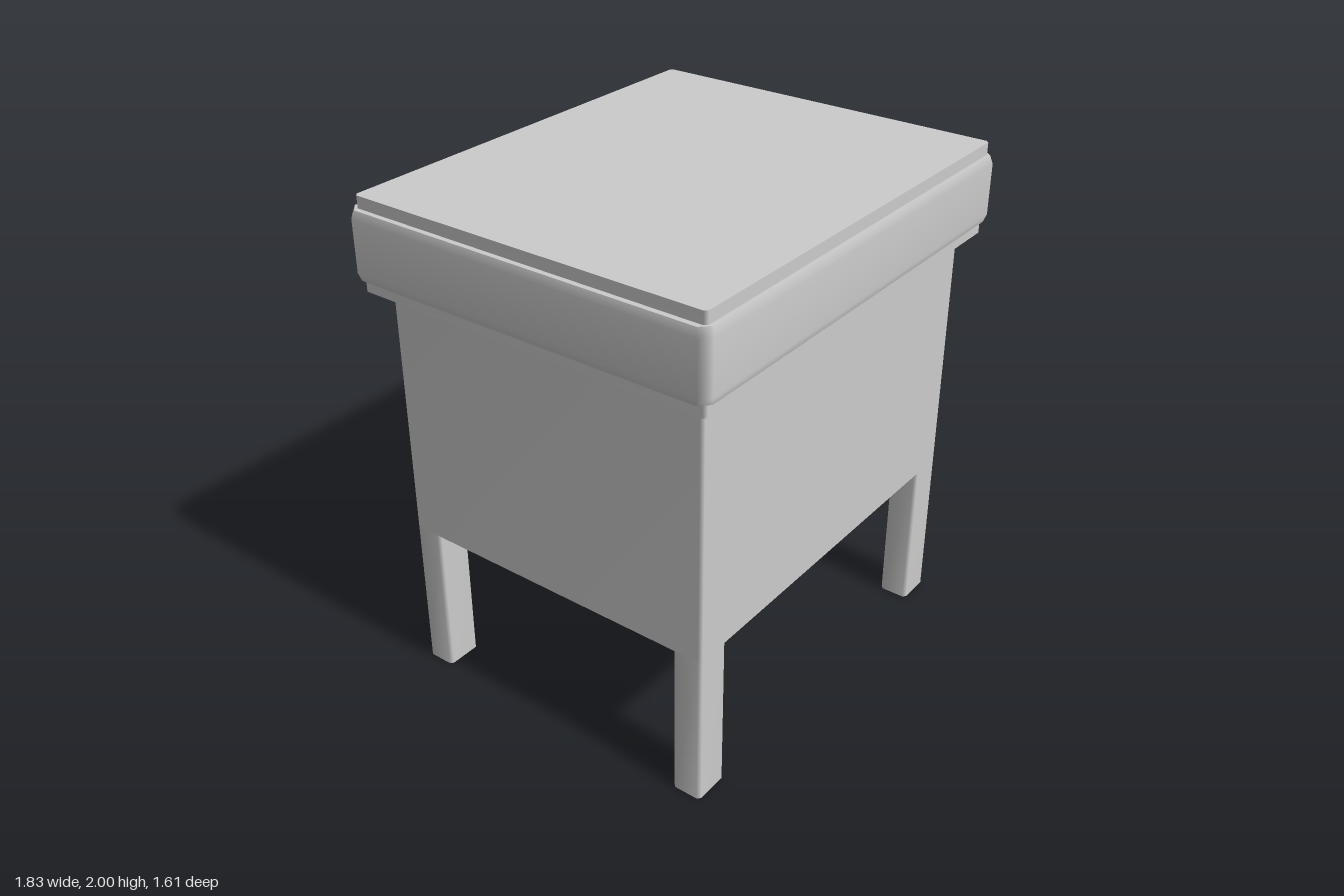
import * as THREE from 'three';

const material = new THREE.MeshStandardMaterial({ color: 0xcccccc });

// Outline of a rectangle with cut corners: half width w, half depth d, cut c
function outline(w, d, c) {
  return [
    [w, d - c], [w - c, d], [c - w, d], [-w, d - c],
    [-w, c - d], [c - w, -d], [w - c, -d], [w, c - d],
  ];
}

// Stack of cut-corner rectangles [y, w, d, c]: smooth sides, crisp flat caps
function stack(name, rings) {
  const pos = [], index = [], n = 8;
  const addRing = ([y, w, d, c]) => outline(w, d, c).forEach(([x, z]) => pos.push(x, y, z));
  rings.forEach(addRing);
  for (let r = 0; r < rings.length - 1; r++) {
    for (let i = 0; i < n; i++) {
      const a = r * n + i, b = r * n + (i + 1) % n;
      index.push(a, a + n, b, b, a + n, b + n);
    }
  }
  const bottom = rings.length * n, top = bottom + n;
  addRing(rings[0]);
  addRing(rings[rings.length - 1]);
  for (let i = 1; i < n - 1; i++) {
    index.push(bottom, bottom + i, bottom + i + 1);
    index.push(top, top + i + 1, top + i);
  }
  const geo = new THREE.BufferGeometry();
  geo.setAttribute('position', new THREE.Float32BufferAttribute(pos, 3));
  geo.setIndex(index);
  geo.computeVertexNormals();
  const mesh = new THREE.Mesh(geo, material);
  mesh.name = name;
  return mesh;
}

export function createModel() {
  const group = new THREE.Group();
  group.name = 'nightstand';
  const add = (mesh, x, y, z) => {
    mesh.position.set(x, y, z);
    group.add(mesh);
    return mesh;
  };

  // Cabinet body
  add(stack('body', [[0.63, 0.82, 0.68, 0.012], [1.64, 0.82, 0.68, 0.012]]), 0, 0, 0.04);

  // Table top: thin slab, thick softened band, thin slab
  add(stack('topUnderside', [[1.64, 0.888, 0.74, 0.012], [1.7, 0.888, 0.74, 0.012]]), 0, 0, 0.038);
  add(stack('topBand', [
    [1.69, 0.908, 0.757, 0.035], [1.72, 0.917, 0.766, 0.035],
    [1.92, 0.917, 0.766, 0.035], [1.953, 0.908, 0.757, 0.035],
  ]), 0, 0, 0.036);
  add(stack('topSurface', [[1.94, 0.888, 0.74, 0.012], [2, 0.888, 0.74, 0.012]]), 0, 0, 0.038);

  // Four legs, flush with the body corners
  for (const x of [-1, 1]) {
    for (const z of [-1, 1]) {
      add(stack('leg', [[0, 0.075, 0.06, 0.012], [0.64, 0.075, 0.06, 0.012]]), x * 0.745, 0, 0.04 + z * 0.62);
    }
  }

  // Drawer front and its pull, stacked outwards from the back of the body
  const drawer = add(stack('drawerFront', [
    [0, 0.665, 0.4, 0.01], [0.08, 0.665, 0.4, 0.01], [0.092, 0.65, 0.39, 0.01],
  ]), 0, 1.14, -0.64);
  const handle = add(stack('drawerHandle', [
    [0, 0.222, 0.042, 0.008], [0.058, 0.222, 0.042, 0.008], [0.076, 0.215, 0.028, 0.008],
  ]), 0, 1.17, -0.73);
  drawer.rotation.x = handle.rotation.x = -Math.PI / 2;

  return group;
}
